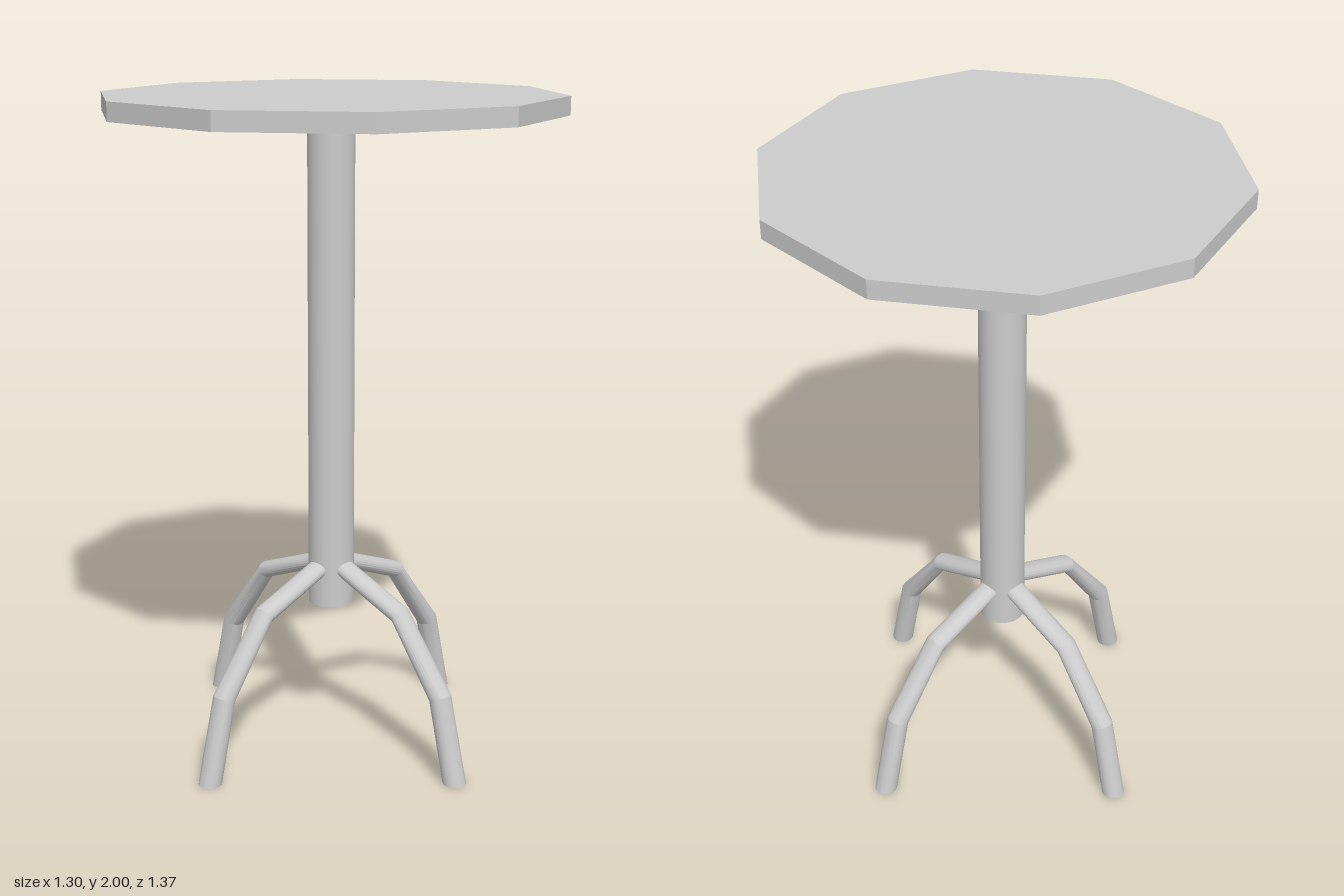
import * as THREE from 'three';
import { toCreasedNormals } from 'three/addons/utils/BufferGeometryUtils.js';

const SIDES = 24;
const LEG_HALF_WIDTH = 0.035;

// Each leg section: [inner x, inner y, outer x, outer y], from the foot up
const LEG_SECTIONS = [
  [0.48, 0, 0.55, 0],
  [0.424, 0.242, 0.484, 0.267],
  [0.278, 0.449, 0.302, 0.496],
  [0.03, 0.546, 0.03, 0.6],
];

// Bent leg in the x-y plane, lofted through oval sections and capped at both ends
function legGeometry() {
  const positions = [];
  const index = [];
  for (const [ix, iy, ox, oy] of LEG_SECTIONS) {
    for (let i = 0; i < SIDES; i++) {
      const a = (i / SIDES) * Math.PI * 2;
      const t = (1 + Math.cos(a)) / 2;
      positions.push(ix + (ox - ix) * t, iy + (oy - iy) * t, -Math.sin(a) * LEG_HALF_WIDTH);
    }
  }
  const last = (LEG_SECTIONS.length - 1) * SIDES;
  for (let r = 0; r < last; r += SIDES) {
    for (let i = 0; i < SIDES; i++) {
      const j = (i + 1) % SIDES;
      index.push(r + i, r + j, r + SIDES + j, r + i, r + SIDES + j, r + SIDES + i);
    }
  }
  for (let i = 1; i < SIDES - 1; i++) {
    index.push(0, i + 1, i, last, last + i, last + i + 1);
  }
  const geometry = new THREE.BufferGeometry();
  geometry.setAttribute('position', new THREE.Float32BufferAttribute(positions, 3));
  geometry.setIndex(index);
  return toCreasedNormals(geometry, 0.3);
}

export function createModel() {
  const model = new THREE.Group();
  model.name = 'pedestalTable';
  const smooth = new THREE.MeshStandardMaterial({ color: 0xcccccc });
  const flat = new THREE.MeshStandardMaterial({ color: 0xcccccc, flatShading: true });

  // Ten-sided top with corners facing front and back
  const top = new THREE.Mesh(new THREE.CylinderGeometry(0.686, 0.686, 0.055, 10), flat);
  top.name = 'tableTop';
  top.position.y = 1.9725;
  model.add(top);

  // Central post
  const post = new THREE.Mesh(new THREE.CylinderGeometry(0.07, 0.07, 1.5, 32), smooth);
  post.name = 'post';
  post.position.y = 1.195;
  model.add(post);

  // Four legs, a quarter turn apart
  const geometry = legGeometry();
  for (let i = 0; i < 4; i++) {
    const leg = new THREE.Mesh(geometry, smooth);
    leg.name = `leg${i + 1}`;
    leg.rotation.y = (i * Math.PI) / 2;
    model.add(leg);
  }
  return model;
}
